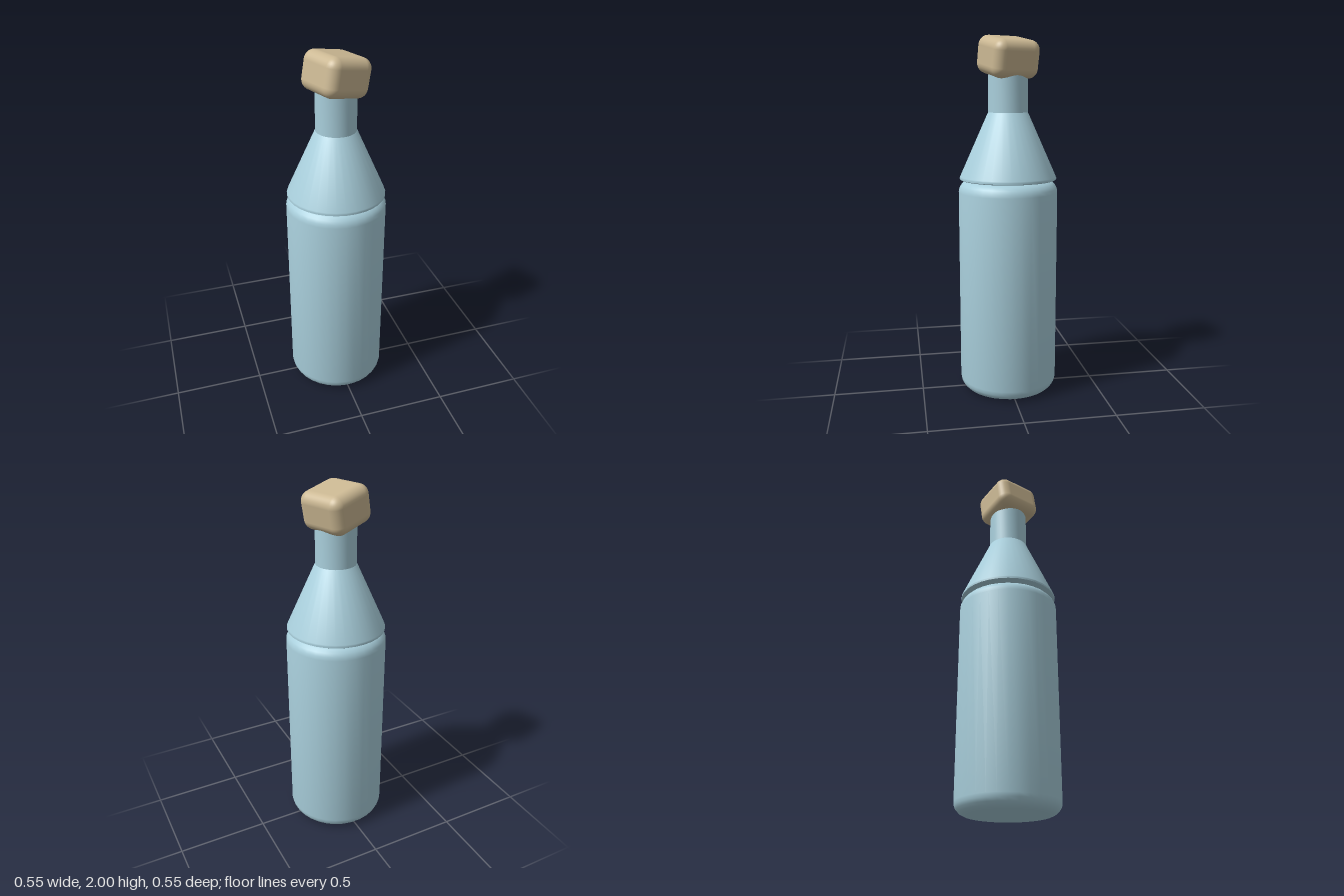
import * as THREE from 'three';
import { toCreasedNormals } from 'three/addons/utils/BufferGeometryUtils.js';
import { RoundedBoxGeometry } from 'three/addons/geometries/RoundedBoxGeometry.js';

const SIDES = 32;

// Quarter-round corner points about (r, y), from angle a0 to a1
function corner(r, y, radius, a0, a1, steps = 5) {
  return Array.from({ length: steps + 1 }, (_, i) => {
    const a = a0 + ((a1 - a0) * i) / steps;
    return [r + radius * Math.cos(a), y + radius * Math.sin(a)];
  });
}

// Turned part from [radius, height] points, listed bottom to top
function turned(name, points, material) {
  const profile = points.map(([r, y]) => new THREE.Vector2(r, y));
  const geometry = new THREE.LatheGeometry(profile, SIDES, Math.PI / SIDES);
  const mesh = new THREE.Mesh(toCreasedNormals(geometry, 0.6), material);
  mesh.name = name;
  return mesh;
}

export function createModel() {
  const glass = new THREE.MeshStandardMaterial({ color: 0xa9cfdc });
  glass.name = 'pale blue glass';
  const corkTan = new THREE.MeshStandardMaterial({ color: 0xcbb893 });
  corkTan.name = 'cork tan';

  const model = new THREE.Group();
  model.name = 'bottle';

  // Straight body with rounded ends
  const bevel = 0.065;
  model.add(turned('body', [
    [0, 0.005],
    ...corner(0.276 - bevel, 0.005 + bevel, bevel, -Math.PI / 2, 0),
    ...corner(0.276 - bevel, 1.215 - bevel, bevel, 0, Math.PI / 2),
    [0, 1.215],
  ], glass));

  // Conical shoulder with a small rounded rim
  model.add(turned('shoulder', [
    [0, 1.218], [0.262, 1.218], [0.269, 1.222], [0.27, 1.229], [0.267, 1.237],
    [0.112, 1.584], [0.106, 1.59], [0, 1.59],
  ], glass));

  // Cylindrical neck
  model.add(turned('neck', [[0, 1.585], [0.109, 1.585], [0.109, 1.86], [0, 1.86]], glass));

  // Chunky stopper, turned and tipped to one side
  const stopper = new THREE.Mesh(new RoundedBoxGeometry(0.27, 0.205, 0.274, 4, 0.055), corkTan);
  stopper.name = 'stopper';
  stopper.position.set(0, 1.884, 0);
  stopper.rotation.set(0, THREE.MathUtils.degToRad(20), THREE.MathUtils.degToRad(-11));
  model.add(stopper);

  return model;
}
